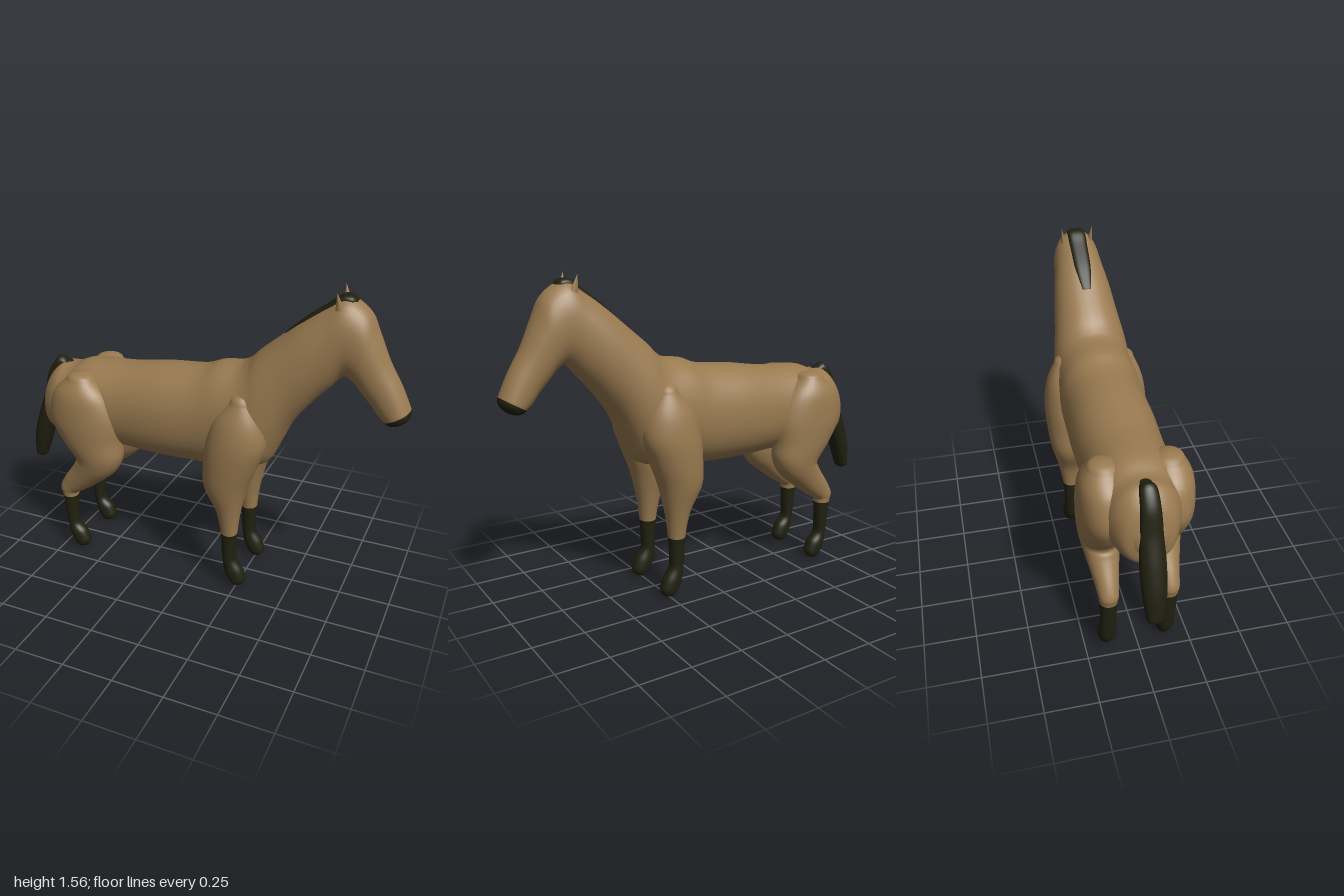
import * as THREE from 'three';

const coat = new THREE.MeshStandardMaterial({ color: 0x997a50 });
coat.name = 'brown coat';
const dark = new THREE.MeshStandardMaterial({ color: 0x202010 });
dark.name = 'dark hair';

const SIDES = 32, SUB = 6, CAP = 5;

// Smooth interpolation of one number through four neighbouring sections
function spline(a, b, c, d, t) {
  return 0.5 * (2 * b + (c - a) * t + (2 * a - 5 * b + 4 * c - d) * t * t + (3 * b - a - 3 * c + d) * t * t * t);
}

// Skin over sections [ax, ay, bx, by, halfWidth]: a and b are opposite outline points.
// Rounded caps close both ends; sections from darkFrom onward use the second material.
function loft(name, sections, { z = 0, caps = [0.03, 0.03], power = 0.95, materials = coat, darkFrom = 0 } = {}) {
  const n = sections.length;
  const at = i => sections[Math.max(0, Math.min(n - 1, i))];
  const rings = [];
  for (let i = 0; i < n - 1; i++) {
    for (let s = 0; s < SUB; s++) {
      rings.push(at(i).map((v, k) => spline(at(i - 1)[k], v, at(i + 1)[k], at(i + 2)[k], s / SUB)));
    }
  }
  rings.push(at(n - 1));

  // Shrink copies of an end ring along its axis to round it off
  const cap = (ring, length) => {
    const [ax, ay, bx, by, w] = ring;
    const ux = (ax - bx) / 2, uy = (ay - by) / 2, len = Math.hypot(ux, uy);
    return Array.from({ length: CAP }, (_, i) => {
      const t = (i + 1) / CAP * Math.PI / 2;
      const scale = Math.max(Math.cos(t), 0.002), shift = Math.sin(t) * length / len;
      const cx = (ax + bx) / 2 + uy * shift, cy = (ay + by) / 2 - ux * shift;
      return [cx + ux * scale, cy + uy * scale, cx - ux * scale, cy - uy * scale, w * scale];
    });
  };
  const all = [...cap(rings[0], -caps[0]).reverse(), ...rings, ...cap(rings[rings.length - 1], caps[1])];

  const positions = [], index = [];
  const soft = v => Math.sign(v) * Math.pow(Math.abs(v), power);
  all.forEach(([ax, ay, bx, by, w], i) => {
    for (let j = 0; j < SIDES; j++) {
      const angle = j / SIDES * Math.PI * 2;
      const c = soft(Math.cos(angle)), s = soft(Math.sin(angle));
      positions.push((ax + bx) / 2 + c * (ax - bx) / 2, (ay + by) / 2 + c * (ay - by) / 2, z + s * w);
      if (i < all.length - 1) {
        const p = i * SIDES + j, q = i * SIDES + (j + 1) % SIDES;
        index.push(p, q, p + SIDES, q, q + SIDES, p + SIDES);
      }
    }
  });
  const geometry = new THREE.BufferGeometry();
  geometry.setAttribute('position', new THREE.Float32BufferAttribute(positions, 3));
  geometry.setIndex(index);
  geometry.computeVertexNormals();
  if (Array.isArray(materials)) {
    const split = (CAP + darkFrom * SUB) * SIDES * 6;
    geometry.addGroup(0, split, 0);
    geometry.addGroup(split, index.length - split, 1);
  }
  const mesh = new THREE.Mesh(geometry, materials);
  mesh.name = name;
  return mesh;
}

// Torso, neck and head: top point, bottom point, half width
const BODY = [
  [-0.86, 0.87, -0.865, 0.72, 0.07],
  [-0.83, 0.95, -0.85, 0.66, 0.115],
  [-0.77, 1.01, -0.80, 0.63, 0.15],
  [-0.70, 1.015, -0.72, 0.62, 0.175],
  [-0.60, 1.05, -0.60, 0.62, 0.195],
  [-0.40, 1.06, -0.40, 0.62, 0.195],
  [-0.20, 1.09, -0.20, 0.61, 0.203],
  [0.00, 1.11, 0.00, 0.615, 0.20],
  [0.10, 1.145, 0.14, 0.63, 0.20],
  [0.20, 1.16, 0.28, 0.645, 0.20],
  [0.25, 1.19, 0.36, 0.68, 0.195],
  [0.30, 1.24, 0.41, 0.78, 0.185],
  [0.40, 1.325, 0.465, 0.90, 0.165],
  [0.50, 1.41, 0.55, 1.015, 0.148],
  [0.60, 1.485, 0.63, 1.105, 0.128],
  [0.68, 1.53, 0.69, 1.165, 0.115],
  [0.775, 1.475, 0.735, 1.145, 0.106],
  [0.825, 1.38, 0.775, 1.10, 0.095],
  [0.88, 1.26, 0.82, 1.05, 0.082],
  [0.945, 1.15, 0.85, 1.01, 0.076],
  [0.992, 1.05, 0.88, 0.985, 0.074],
];

// Legs: front point, back point, half width
const FRONT_LEG = [
  [0.31, 1.02, 0.20, 1.02, 0.06],
  [0.365, 0.92, 0.12, 0.92, 0.10],
  [0.38, 0.81, 0.085, 0.80, 0.118],
  [0.34, 0.69, 0.075, 0.68, 0.115],
  [0.295, 0.57, 0.078, 0.56, 0.10],
  [0.262, 0.43, 0.14, 0.43, 0.066],
  [0.247, 0.30, 0.165, 0.30, 0.043],
  [0.243, 0.20, 0.17, 0.20, 0.038],
  [0.245, 0.15, 0.177, 0.13, 0.037],
  [0.277, 0.10, 0.19, 0.065, 0.042],
  [0.293, 0.06, 0.215, 0.022, 0.040],
];
const HIND_LEG = [
  [-0.52, 1.00, -0.66, 1.00, 0.07],
  [-0.44, 0.92, -0.74, 0.92, 0.108],
  [-0.39, 0.80, -0.77, 0.78, 0.118],
  [-0.39, 0.68, -0.71, 0.66, 0.112],
  [-0.385, 0.59, -0.64, 0.565, 0.10],
  [-0.425, 0.505, -0.65, 0.53, 0.088],
  [-0.52, 0.425, -0.675, 0.49, 0.072],
  [-0.61, 0.36, -0.725, 0.42, 0.055],
  [-0.655, 0.335, -0.755, 0.36, 0.047],
  [-0.663, 0.31, -0.745, 0.31, 0.042],
  [-0.668, 0.20, -0.733, 0.20, 0.038],
  [-0.665, 0.14, -0.722, 0.115, 0.037],
  [-0.627, 0.10, -0.712, 0.06, 0.042],
  [-0.608, 0.055, -0.69, 0.02, 0.040],
];

// Tail: inner point, outer point, half width
const TAIL = [
  [-0.75, 0.985, -0.755, 1.02, 0.03],
  [-0.79, 0.96, -0.80, 1.035, 0.04],
  [-0.82, 0.90, -0.86, 0.955, 0.045],
  [-0.83, 0.80, -0.895, 0.83, 0.052],
  [-0.85, 0.68, -0.945, 0.70, 0.058],
  [-0.89, 0.56, -0.985, 0.57, 0.054],
  [-0.93, 0.45, -0.995, 0.455, 0.04],
];

// Mane lying on the crest of the neck
const MANE = [
  [0.41, 1.336, 0.43, 1.30, 0.028],
  [0.50, 1.418, 0.52, 1.37, 0.042],
  [0.60, 1.494, 0.62, 1.44, 0.045],
  [0.655, 1.536, 0.665, 1.48, 0.045],
  [0.70, 1.536, 0.69, 1.48, 0.042],
  [0.72, 1.518, 0.70, 1.48, 0.03],
];

export function createModel() {
  const horse = new THREE.Group();
  horse.name = 'horse';
  const painted = [coat, dark];

  horse.add(loft('bodyNeckAndHead', BODY, { caps: [0.015, 0.045], power: 0.92, materials: painted, darkFrom: 20 }));
  horse.add(loft('tail', TAIL, { materials: dark }));
  horse.add(loft('mane', MANE, { caps: [0.01, 0.008], power: 0.65, materials: dark }));

  for (const side of [1, -1]) {
    const label = side > 0 ? 'Left' : 'Right';
    horse.add(loft('frontLeg' + label, FRONT_LEG, { z: side * 0.143, caps: [0.04, 0.04], materials: painted, darkFrom: 6 }));
    horse.add(loft('hindLeg' + label, HIND_LEG, { z: side * 0.143, caps: [0.03, 0.04], materials: painted, darkFrom: 9 }));

    // Pointed ear leaning slightly back
    const ear = new THREE.Mesh(new THREE.ConeGeometry(0.03, 0.12, 16), coat);
    ear.name = 'ear' + label;
    ear.scale.z = 0.65;
    ear.position.set(0.656, 1.502, side * 0.07);
    ear.rotation.set(side * 0.12, 0, 0.18);
    horse.add(ear);
  }
  return horse;
}
